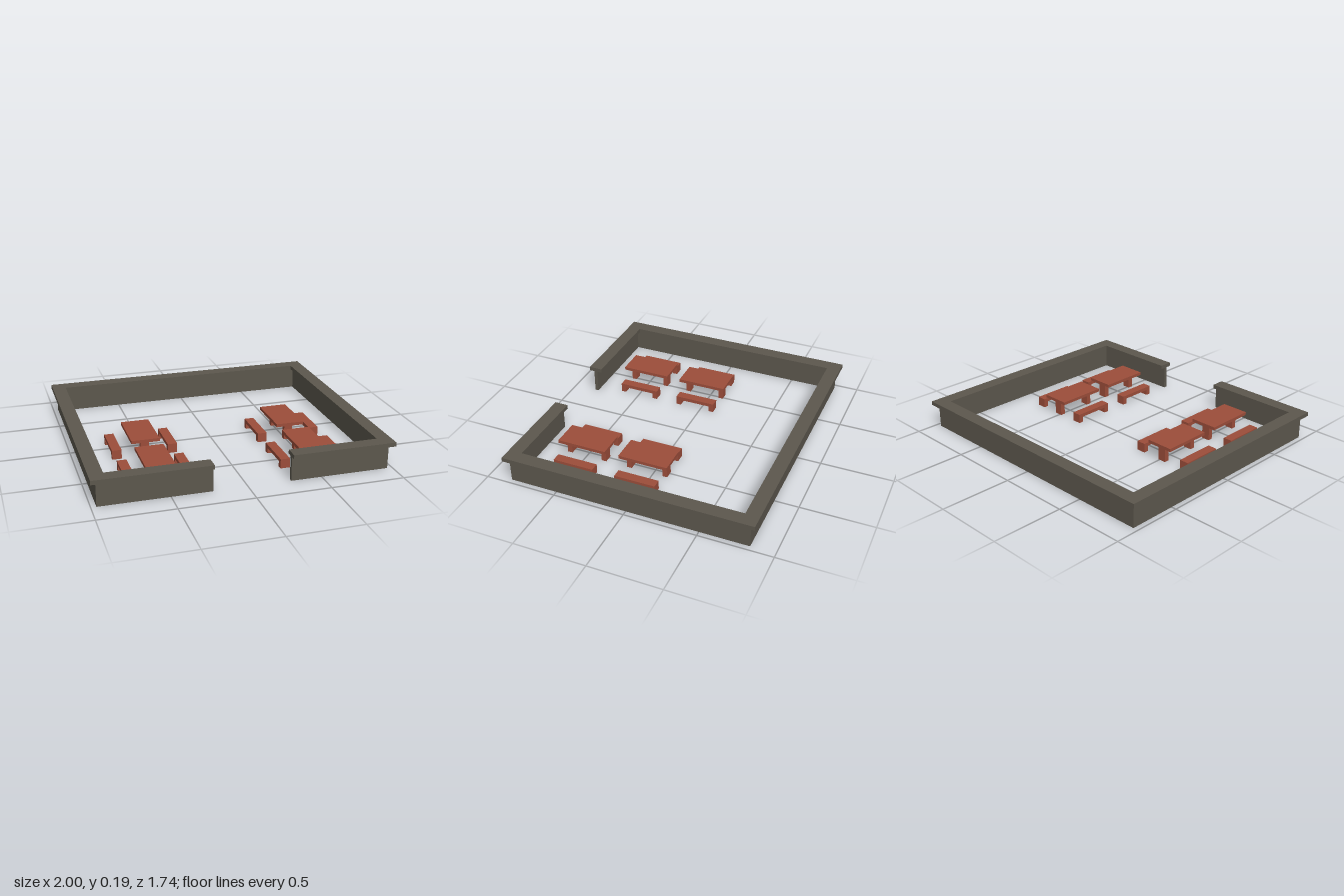
import * as THREE from 'three';

const stone = new THREE.MeshStandardMaterial({ color: 0x5c574d });
stone.name = 'dark stone';
const wood = new THREE.MeshStandardMaterial({ color: 0x9c4d3a });
wood.name = 'red wood';

// Box placed by its centre in x and z and by its bottom in y
function box(name, w, h, d, x, y, z) {
  const mesh = new THREE.Mesh(new THREE.BoxGeometry(w, h, d), wood);
  mesh.name = name;
  mesh.position.set(x, y + h / 2, z);
  return mesh;
}

// Rectangular ring with a gateway in the front, drawn in plan and raised
function enclosure(name, hx, hz, t, y, h) {
  const gateRight = -0.23, gateLeft = 0.29;
  const ix = hx - t, iz = hz - t;
  // shape y is -z, so the front lies at negative y
  const shape = new THREE.Shape([
    [gateLeft, -hz], [hx, -hz], [hx, hz], [-hx, hz], [-hx, -hz], [gateRight, -hz],
    [gateRight, -iz], [-ix, -iz], [-ix, iz], [ix, iz], [ix, -iz], [gateLeft, -iz],
  ].map(([x, z]) => new THREE.Vector2(x, z)));
  const geometry = new THREE.ExtrudeGeometry(shape, { depth: h, bevelEnabled: false });
  geometry.rotateX(-Math.PI / 2);
  const mesh = new THREE.Mesh(geometry, stone);
  mesh.name = name;
  mesh.position.y = y;
  return mesh;
}

function bench(x) {
  const group = new THREE.Group();
  group.name = 'bench';
  group.position.x = x;
  group.add(box('benchSeat', 0.065, 0.025, 0.29, 0, 0.04, 0));
  for (const s of [-1, 1]) group.add(box('benchLeg', 0.065, 0.04, 0.035, 0, 0, s * 0.1275));
  return group;
}

// Table on two central legs with a bench on either side
function tableSet(x, z) {
  const group = new THREE.Group();
  group.name = 'tableSet';
  group.position.set(x, 0, z);
  group.add(box('tableTop', 0.195, 0.022, 0.35, 0, 0.11, 0));
  for (const s of [-1, 1]) {
    group.add(box('tableLeg', 0.06, 0.11, 0.035, 0, 0, s * 0.13));
    group.add(bench(s * 0.1925));
  }
  return group;
}

export function createModel() {
  const model = new THREE.Group();
  model.name = 'walledDiningYard';

  // Thin wall under a wide overhanging cap
  model.add(enclosure('wall', 0.965, 0.835, 0.025, 0, 0.165));
  model.add(enclosure('wallCap', 1, 0.87, 0.095, 0.165, 0.028));

  // Two tables on each side of the yard
  for (const x of [-0.518, 0.515]) {
    for (const z of [0.045, 0.497]) model.add(tableSet(x, z));
  }
  return model;
}
